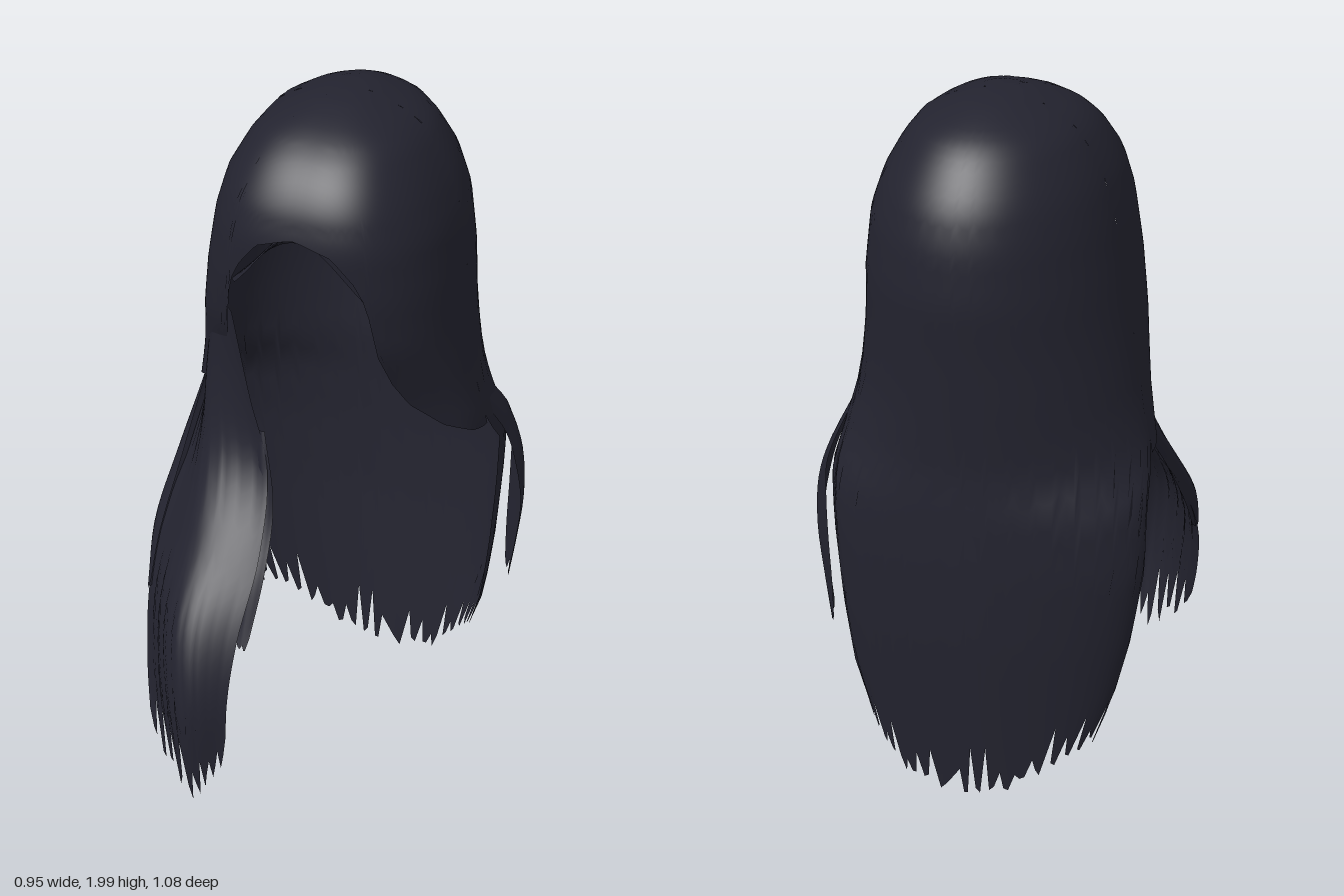
import * as THREE from 'three';

// Hair envelope by height: y, left half-width, right half-width, centre z, front z, back z
const PROFILE = [
  [2.0, 0, 0, -0.15, -0.15, -0.15],
  [1.993, 0.06, 0.06, -0.15, -0.07, -0.24],
  [1.965, 0.14, 0.14, -0.15, 0.03, -0.34],
  [1.93, 0.2, 0.2, -0.15, 0.09, -0.4],
  [1.88, 0.24, 0.24, -0.15, 0.15, -0.445],
  [1.8, 0.285, 0.285, -0.15, 0.205, -0.5],
  [1.7, 0.32, 0.315, -0.15, 0.23, -0.53],
  [1.55, 0.34, 0.345, -0.15, 0.225, -0.54],
  [1.4, 0.35, 0.37, -0.15, 0.195, -0.525],
  [1.2, 0.378, 0.405, -0.15, 0.08, -0.51],
  [1.06, 0.408, 0.44, -0.17, 0.02, -0.5],
  [0.96, 0.41, 0.47, -0.28, 0, -0.505],
  [0.78, 0.4, 0.475, -0.3, 0, -0.505],
  [0.55, 0.385, 0.44, -0.3, 0, -0.495],
  [0.35, 0.36, 0.395, -0.31, 0, -0.475],
  [0.2, 0.31, 0.345, -0.33, 0, -0.46],
  [0.0, 0.27, 0.29, -0.35, 0, -0.44],
];
// Front hem: degrees away from the middle of the face, height
const HEM = [[0, 1.72], [12.5, 1.69], [22, 1.62], [27, 1.56], [29, 1.48], [31, 1.3],
  [37, 1.2], [53, 1.12], [74, 1.075], [90, 1.06]];

// Linear lookup in a table whose first column is the key
function lookup(table, key) {
  const dir = Math.sign(table[1][0] - table[0][0]);
  let i = 0;
  while (i < table.length - 2 && (key - table[i + 1][0]) * dir > 0) i++;
  const a = table[i], b = table[i + 1];
  const t = THREE.MathUtils.clamp((key - a[0]) / (b[0] - a[0]), 0, 1);
  return a.map((v, k) => v + (b[k] - v) * t);
}

function seeded(seed) {
  return () => (seed = (seed * 16807) % 2147483647) / 2147483647;
}

// Point on the envelope; angle 0 faces front, 90 degrees is the left side
function envelope(angle, y) {
  const [, left, right, mid, front, back] = lookup(PROFILE, y);
  const s = Math.sin(angle), c = Math.cos(angle);
  // The long back hair is squarer on the left and flatter on the right
  const low = 1 - THREE.MathUtils.smoothstep(y, 0.85, 1.3);
  const p = c > 0 ? 0.75 : 1 + low * (s > 0 ? -0.38 : 0.15);
  const x = Math.sign(s) * Math.abs(s) ** p * (s > 0 ? left : right);
  const z = mid + (c > 0 ? (front - mid) * c ** p : (back - mid) * Math.abs(c) ** p);
  return new THREE.Vector3(x, y, z);
}

function envelopeNormal(angle, y) {
  if (y > 1.997) return new THREE.Vector3(0, 1, 0);
  const h = Math.min(0.04, (2 - y) * 0.6);
  const across = envelope(angle + 0.06, y).sub(envelope(angle - 0.06, y));
  const up = envelope(angle, y + h).sub(envelope(angle, y - h));
  return across.cross(up).normalize();
}

// Grid surface; columns run left to right and rows run downwards
function gridGeometry(cols, rows, point, normal) {
  const pos = [], nor = [], index = [];
  for (let i = 0; i <= rows; i++) {
    for (let j = 0; j <= cols; j++) {
      pos.push(...point(j, i).toArray());
      if (normal) nor.push(...normal(j, i).toArray());
      if (i < rows && j < cols) {
        const a = i * (cols + 1) + j, b = a + 1, c = a + cols + 1, d = c + 1;
        index.push(a, c, b, b, c, d);
      }
    }
  }
  const g = new THREE.BufferGeometry();
  g.setAttribute('position', new THREE.Float32BufferAttribute(pos, 3));
  g.setIndex(index);
  if (normal) g.setAttribute('normal', new THREE.Float32BufferAttribute(nor, 3));
  else g.computeVertexNormals();
  return g;
}

// Part of the envelope between two angles, hanging from the crown to a hem
function shell(from, to, cols, rows, hem) {
  const hems = Array.from({ length: cols + 1 }, (_, j) => hem(from + (to - from) * j / cols, j));
  const angle = (j) => THREE.MathUtils.degToRad(from + (to - from) * j / cols);
  const height = (j, i) => 2 - (2 - hems[j]) * (i / rows) ** 2;
  return gridGeometry(cols, rows,
    (j, i) => envelope(angle(j), height(j, i)),
    (j, i) => envelopeNormal(angle(j), height(j, i)));
}

// Loose sheet lofted through three-point sections, with ragged tips
function lock(sections, cols, rows, ragged, seed) {
  const rand = seeded(seed);
  const rails = sections.map((s) => new THREE.CatmullRomCurve3(s.map((p) => new THREE.Vector3(...p))));
  const columns = [], ends = [];
  for (let j = 0; j <= cols; j++) {
    columns.push(new THREE.CatmullRomCurve3(rails.map((r) => r.getPoint(j / cols))));
    ends.push(1 - ragged * (j % 3 === 0 ? 0.4 + 0.6 * rand() : 0.3 * rand()));
  }
  return gridGeometry(cols, rows, (j, i) => columns[j].getPoint(ends[j] * i / rows));
}

export function createModel() {
  const model = new THREE.Group();
  model.name = 'longHair';
  const hair = new THREE.MeshStandardMaterial({ color: 0x23232f, side: THREE.DoubleSide });
  hair.name = 'blue-black hair';
  const add = (name, geometry) => {
    const mesh = new THREE.Mesh(geometry, hair);
    mesh.name = name;
    model.add(mesh);
  };

  // Front of the cap, with the face opening
  add('frontCap', shell(-90, 90, 90, 28, (deg) => lookup(HEM, Math.abs(deg))[1]));

  // Back of the cap and the long back hair, ending in ragged points
  const rand = seeded(71);
  add('backHair', shell(90, 270, 66, 40, (deg, j) => {
    const side = Math.abs(Math.sin(THREE.MathUtils.degToRad(deg)));
    const notch = j % 3 === 0 ? 0.04 + 0.15 * rand() : 0.05 * rand();
    return 0.005 + 0.21 * side ** 2.5 + notch;
  }));

  // Lining under the crown, sloping down from the face opening to the back
  add('innerLining', lock([
    [[-0.19, 1.54, 0.17], [0, 1.72, 0.21], [0.19, 1.54, 0.17]],
    [[-0.3, 1.42, -0.08], [0, 1.67, -0.08], [0.3, 1.42, -0.08]],
    [[-0.26, 1.4, -0.34], [0, 1.57, -0.36], [0.26, 1.4, -0.34]],
    [[-0.15, 1.32, -0.46], [0, 1.36, -0.505], [0.15, 1.32, -0.46]],
  ], 20, 16, 0, 3));

  // Right lock swept forward over the shoulder, outer edge to inner edge
  add('frontLock', lock([
    [[-0.35, 1.45, -0.1], [-0.3, 1.45, 0.06], [-0.2, 1.45, 0.17]],
    [[-0.4, 1.2, -0.15], [-0.32, 1.2, 0.07], [-0.155, 1.2, 0.165]],
    [[-0.4, 1.02, -0.06], [-0.3, 1.0, 0.14], [-0.09, 1.0, 0.2]],
    [[-0.42, 0.8, 0.13], [-0.25, 0.8, 0.32], [-0.06, 0.8, 0.33]],
    [[-0.43, 0.6, 0.26], [-0.24, 0.6, 0.475], [-0.075, 0.6, 0.45]],
    [[-0.4, 0.4, 0.36], [-0.21, 0.38, 0.54], [-0.085, 0.42, 0.505]],
    [[-0.35, 0.21, 0.45], [-0.2, 0.05, 0.51], [-0.09, 0.22, 0.51]],
  ], 27, 30, 0.12, 19));

  // Thin strands along the edges of the front lock
  add('innerStrand', lock([
    [[-0.14, 1.1, 0.16], [-0.12, 1.1, 0.17], [-0.11, 1.1, 0.17]],
    [[-0.12, 0.9, 0.22], [-0.09, 0.9, 0.235], [-0.065, 0.9, 0.22]],
    [[-0.11, 0.73, 0.32], [-0.08, 0.72, 0.34], [-0.05, 0.74, 0.32]],
    [[-0.1, 0.55, 0.41], [-0.08, 0.53, 0.42], [-0.065, 0.55, 0.41]],
  ], 6, 16, 0.08, 5));
  add('outerStrand', lock([
    [[-0.39, 1.1, -0.12], [-0.4, 1.1, -0.08], [-0.38, 1.1, -0.02]],
    [[-0.4, 0.92, 0.04], [-0.42, 0.92, 0.08], [-0.39, 0.92, 0.12]],
    [[-0.42, 0.74, 0.16], [-0.44, 0.75, 0.2], [-0.4, 0.75, 0.25]],
    [[-0.41, 0.58, 0.28], [-0.42, 0.58, 0.3], [-0.4, 0.6, 0.33]],
  ], 6, 14, 0.1, 11));

  // Loose wisp behind the left shoulder, front edge to back edge
  add('leftWisp', lock([
    [[0.385, 1.12, -0.18], [0.39, 1.12, -0.22], [0.365, 1.12, -0.3]],
    [[0.43, 0.98, -0.27], [0.435, 0.98, -0.33], [0.4, 0.98, -0.4]],
    [[0.455, 0.88, -0.29], [0.46, 0.88, -0.35], [0.405, 0.88, -0.41]],
    [[0.475, 0.74, -0.3], [0.465, 0.74, -0.36], [0.405, 0.74, -0.41]],
    [[0.46, 0.58, -0.31], [0.45, 0.58, -0.36], [0.405, 0.58, -0.4]],
    [[0.435, 0.44, -0.33], [0.43, 0.42, -0.36], [0.41, 0.43, -0.39]],
  ], 9, 18, 0.12, 29));

  return model;
}
